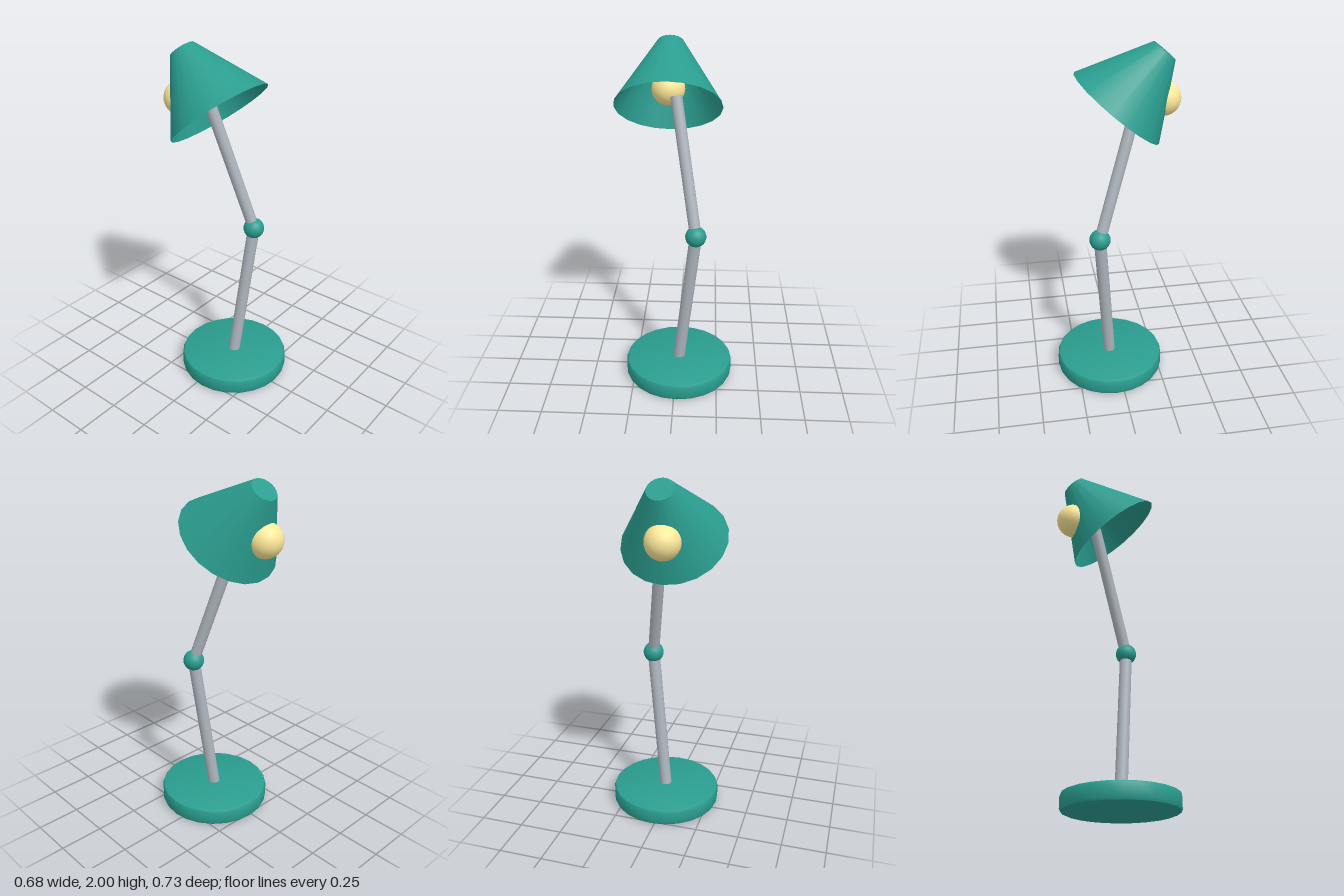
import * as THREE from 'three';
import { toCreasedNormals } from 'three/addons/utils/BufferGeometryUtils.js';

export function createModel() {
  const lamp = new THREE.Group();
  lamp.name = 'deskLamp';

  const teal = new THREE.MeshStandardMaterial({ color: 0x2a9d8f });
  const shadeTeal = new THREE.MeshStandardMaterial({ color: 0x2a9d8f, side: THREE.DoubleSide });
  const metal = new THREE.MeshStandardMaterial({ color: 0xadb5bd });
  const glow = new THREE.MeshStandardMaterial({ color: 0xffe99a });

  const add = (name, geometry, material, position, parent = lamp) => {
    const mesh = new THREE.Mesh(geometry, material);
    mesh.name = name;
    mesh.position.copy(position);
    parent.add(mesh);
    return mesh;
  };

  // Round rod running between two points
  const rod = (name, from, to, radius) => {
    const dir = to.clone().sub(from);
    const mesh = add(name, new THREE.CylinderGeometry(radius, radius, dir.length(), 16), metal,
      from.clone().add(to).multiplyScalar(0.5));
    mesh.quaternion.setFromUnitVectors(new THREE.Vector3(0, 1, 0), dir.normalize());
  };

  const foot = new THREE.Vector3(0.018, 0, 0.044);
  const elbow = new THREE.Vector3(0.115, 0.943, 0.109);
  const armTop = new THREE.Vector3(-0.006, 1.69, -0.117);

  // Base disc with softened edges
  const R = 0.322, H = 0.103, b = 0.02;
  const profile = [[0, 0], [R - b, 0], [R - 0.006, 0.006], [R, b],
    [R, H - b], [R - 0.006, H - 0.006], [R - b, H], [0, H]].map(p => new THREE.Vector2(...p));
  add('base', toCreasedNormals(new THREE.LatheGeometry(profile, 24), 0.6), teal, foot);

  // Two arms and the joint between them
  rod('lowerArm', foot.clone().setY(0.08), elbow, 0.035);
  add('joint', new THREE.SphereGeometry(0.06, 20, 14), teal, elbow);
  rod('upperArm', elbow, armTop, 0.033);

  // Tilted conical shade: open below, capped on top
  const shade = new THREE.Group();
  shade.name = 'shade';
  shade.position.set(-0.044, 1.805, -0.14);
  shade.rotation.x = -0.7;
  lamp.add(shade);
  const length = 0.394;
  add('shadeCone', new THREE.CylinderGeometry(0.074, 0.297, length, 20, 1, true), shadeTeal,
    new THREE.Vector3(), shade);
  const cap = add('shadeCap', new THREE.CircleGeometry(0.074, 20), shadeTeal,
    new THREE.Vector3(0, length / 2, 0), shade);
  cap.rotation.x = -Math.PI / 2;

  // Bulb, pushed partly through the back of the shade
  add('bulb', new THREE.SphereGeometry(0.097, 24, 16), glow, new THREE.Vector3(-0.058, 1.695, -0.27));

  return lamp;
}
